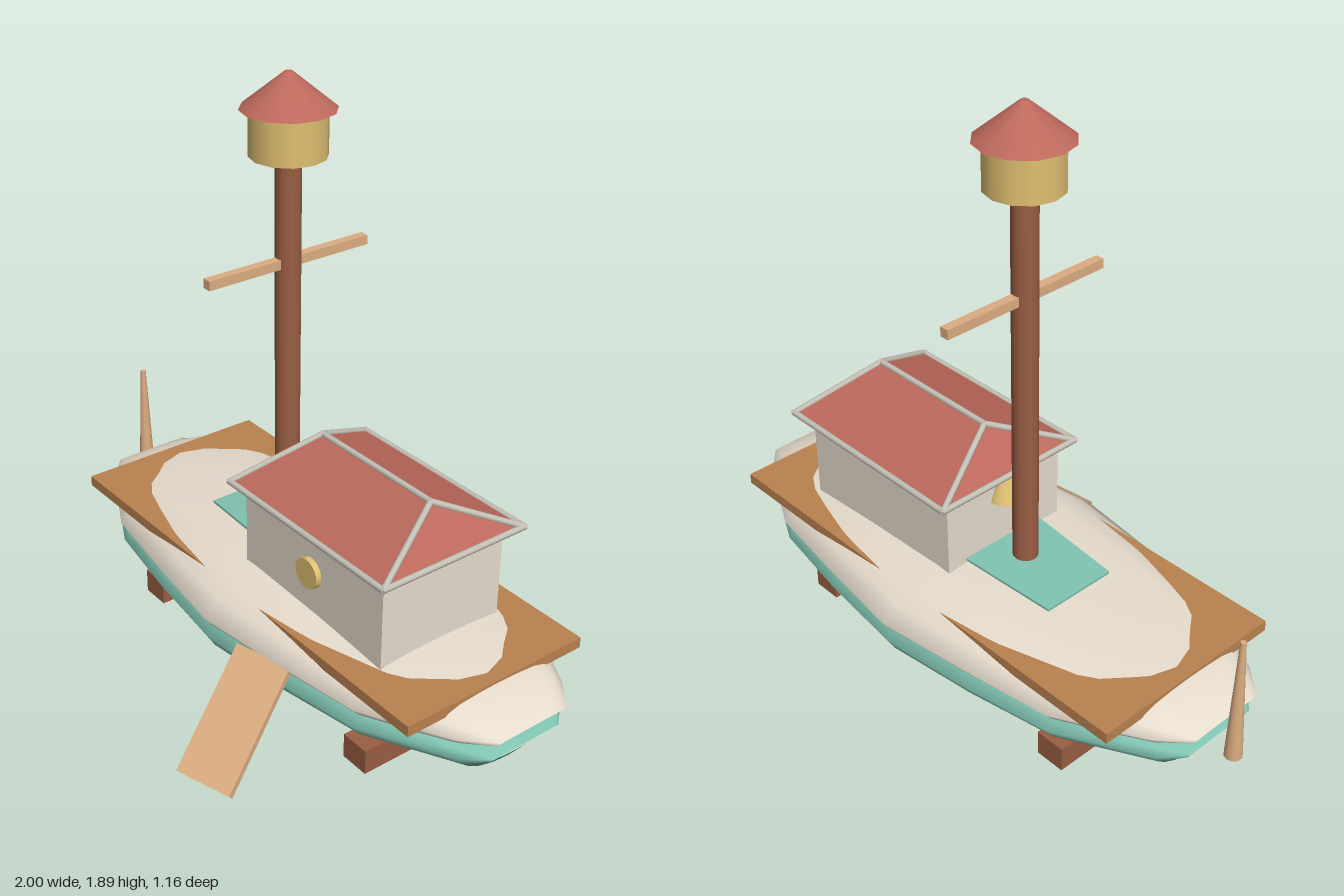
import * as THREE from 'three';

const paint = (name, color) => {
  const m = new THREE.MeshStandardMaterial({ color });
  m.name = name;
  return m;
};

// Loft rings along x; each station is [x offset, half width, height scale].
// The half profile [z, y] runs from the top centre to the bottom centre.
function loft(stations, profile, height) {
  const ring = [...profile, ...profile.slice(1, -1).reverse().map(([z, y]) => [-z, y])];
  const n = ring.length, pos = [], idx = [];
  for (const [x, w, h] of stations)
    for (const [z, y] of ring) pos.push(x, y * h * height, z * w);
  for (let s = 0; s < stations.length - 1; s++)
    for (let i = 0; i < n; i++) {
      const a = s * n + i, b = s * n + (i + 1) % n;
      idx.push(a, b, a + n, b, b + n, a + n);
    }
  const g = new THREE.BufferGeometry();
  g.setAttribute('position', new THREE.Float32BufferAttribute(pos, 3));
  g.setIndex(idx);
  g.computeVertexNormals();
  return g;
}

// Mirror the stern half of a station list to make the whole hull
const mirrored = (half) => [...half, ...half.slice(0, -1).reverse().map(([x, w, h]) => [-x, w, h])];

export function createModel() {
  const teal = paint('teal paint', 0x80c3b1);
  const cream = paint('cream paint', 0xe6dccd);
  const red = paint('roof red', 0xbd695c);
  const trim = paint('grey trim', 0xc6c2b7);
  const darkWood = paint('dark wood', 0x9a5e43);
  const deckWood = paint('deck wood', 0xba8250);
  const tan = paint('light wood', 0xdcae82);
  const brass = paint('brass', 0xe0c072);

  const model = new THREE.Group();
  model.name = 'houseboat';
  const Z = -0.14; // centre line of the boat
  const add = (name, geo, mat, x, y, z, parent = model) => {
    const m = new THREE.Mesh(geo, mat);
    m.name = name;
    m.position.set(x, y, z);
    parent.add(m);
    return m;
  };
  const box = (name, mat, w, h, d, x, y, z) => add(name, new THREE.BoxGeometry(w, h, d), mat, x, y, z);

  // Lower hull
  const lower = mirrored([[-0.95, 0.13, 0.02], [-0.89, 0.2, 0.42], [-0.61, 0.345, 0.7], [-0.31, 0.395, 0.88], [0, 0.43, 1]]);
  add('lowerHull', loft(lower, [
    [0, 0.3], [0.9, 0.25], [1, 0], [0.93, -0.25], [0.8, -0.5], [0.6, -0.75], [0.3, -0.94], [0, -1],
  ], 0.2), teal, 0.03, 0.225, Z);

  // Upper hull with a domed deck
  const upper = mirrored([[-0.97, 0.135, 0.02], [-0.88, 0.21, 0.46], [-0.78, 0.265, 0.61], [-0.61, 0.355, 0.73], [-0.31, 0.4, 0.9], [0, 0.44, 1]]);
  add('upperHull', loft(upper, [
    [0, 1], [0.3, 0.97], [0.6, 0.88], [0.77, 0.7], [0.88, 0.4], [1, 0], [0.93, -0.35], [0.8, -0.42], [0, -0.45],
  ], 0.115), cream, 0.03, 0.295, Z);

  // Painted patch on the deck
  const patch = new THREE.BoxGeometry(0.44, 0.008, 0.28);
  const p = patch.attributes.position;
  for (let i = 0; i < p.count; i++) {
    const t = p.getX(i) / 0.44 + 0.5;
    p.setY(i, p.getY(i) + t * 0.013);
    p.setZ(i, p.getZ(i) * (0.91 + 0.23 * t));
  }
  patch.computeVertexNormals();
  add('deckPatch', patch, teal, -0.14, 0.404, Z);

  // Flat deck and the two blocks the boat rests on
  box('deckPlatform', deckWood, 1.655, 0.035, 0.67, 0.0275, 0.3475, Z);
  for (const x of [-0.51, 0.565]) box('supportBlock', darkWood, 0.1, 0.083, 0.54, x, 0.0415, -0.135);

  // Cabin
  box('cabinWalls', cream, 0.645, 0.33, 0.455, 0.297, 0.505, -0.134);
  add('roundWindow', new THREE.CylinderGeometry(0.05, 0.05, 0.03, 20), brass, 0.295, 0.525, 0.097).rotation.x = Math.PI / 2;
  add('wallLamp', new THREE.CylinderGeometry(0.025, 0.05, 0.06, 12), brass, -0.036, 0.607, Z);

  // Hipped roof, with beams along every edge
  const roof = new THREE.Group();
  roof.name = 'cabinRoof';
  roof.position.set(0.297, 0, Z);
  model.add(roof);
  const v = [[-0.36, 0.675, 0.268], [0.36, 0.675, 0.268], [0.36, 0.675, -0.268], [-0.36, 0.675, -0.268],
    [-0.245, 0.803, 0], [0.245, 0.803, 0]];
  const faces = [[0, 1, 5], [0, 5, 4], [1, 2, 5], [2, 3, 4], [2, 4, 5], [3, 0, 4]];
  const tiles = new THREE.BufferGeometry();
  tiles.setAttribute('position', new THREE.Float32BufferAttribute(faces.flat().flatMap((i) => v[i]), 3));
  tiles.computeVertexNormals();
  add('roofTiles', tiles, red, 0, 0, 0, roof);
  add('roofUnderside', new THREE.BoxGeometry(0.72, 0.008, 0.536), trim, 0, 0.67, 0, roof);
  for (const [a, b] of [[0, 1], [1, 2], [2, 3], [3, 0], [0, 4], [3, 4], [1, 5], [2, 5], [4, 5]]) {
    const A = new THREE.Vector3(...v[a]), B = new THREE.Vector3(...v[b]);
    const beam = add('roofTrim', new THREE.CylinderGeometry(0.01, 0.01, A.distanceTo(B) + 0.01, 8), trim, 0, 0, 0, roof);
    beam.position.copy(A).lerp(B, 0.5);
    beam.quaternion.setFromUnitVectors(new THREE.Vector3(0, 1, 0), B.sub(A).normalize());
  }

  // Mast, yard and lookout
  const mx = -0.127;
  add('mast', new THREE.CylinderGeometry(0.04, 0.04, 1.3, 16), darkWood, mx, 1.0, Z);
  box('yard', tan, 0.03, 0.03, 0.59, mx, 1.313, Z);
  add('lookout', new THREE.CylinderGeometry(0.118, 0.118, 0.145, 12), brass, mx, 1.715, Z);
  add('lookoutRoof', new THREE.CylinderGeometry(0.012, 0.145, 0.108, 12), red, mx, 1.836, Z);

  // Stern oar
  add('sternOar', new THREE.CylinderGeometry(0.009, 0.028, 0.415, 10), tan, -0.975, 0.393, Z);

  // Boarding ramp
  const ramp = box('boardingRamp', tan, 0.195, 0.022, 0.41, 0.33, 0.147, 0.4);
  ramp.rotation.set(0.74, 0.306, 0, 'YXZ');

  return model;
}
